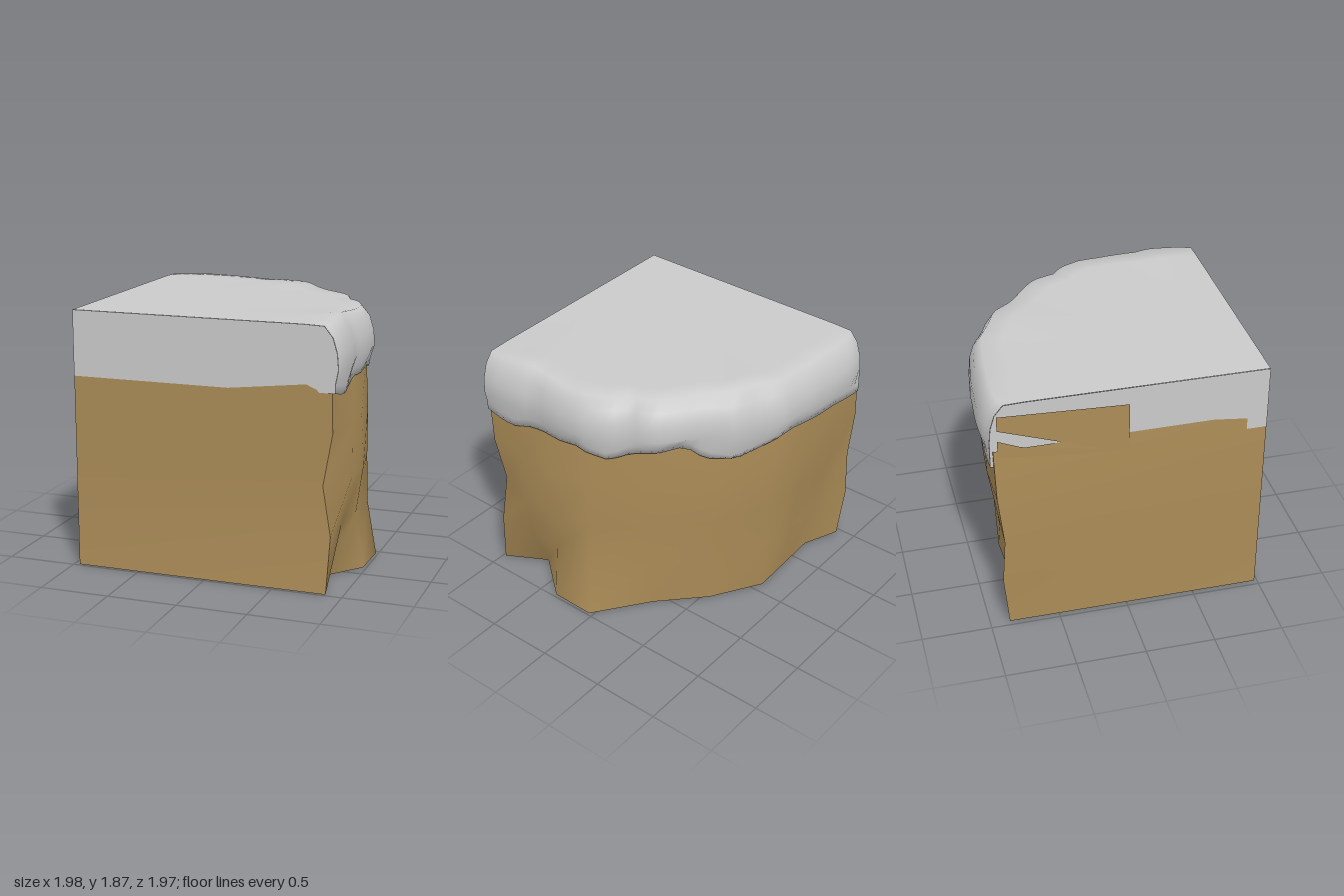
import * as THREE from 'three';

const CX = -0.96, CZ = 0.98; // square corner of the tile, pivot of the curved side

// Linear lookup in a list of [key, value] pairs
function lookup(list, k) {
  for (let i = 1; i < list.length; i++) {
    const [a, va] = list[i - 1], [b, vb] = list[i];
    if (k <= b) return va + (vb - va) * Math.max(0, (k - a) / (b - a));
  }
  return list[list.length - 1][1];
}

// Point at an angle (degrees) and radius around the pivot
function polar(r, deg, y) {
  const t = deg * Math.PI / 180;
  return [CX + r * Math.cos(t), y, CZ - r * Math.sin(t)];
}

// Surface through an nu x nv grid of points
function grid(nu, nv, point) {
  const pos = [], index = [];
  for (let i = 0; i < nu; i++) for (let j = 0; j < nv; j++) pos.push(...point(i, j));
  for (let i = 0; i < nu - 1; i++) for (let j = 0; j < nv - 1; j++) {
    const a = i * nv + j, b = a + nv;
    index.push(a, b, b + 1, a, b + 1, a + 1);
  }
  const g = new THREE.BufferGeometry();
  g.setAttribute('position', new THREE.Float32BufferAttribute(pos, 3));
  g.setIndex(index);
  g.computeVertexNormals();
  return g;
}

const flatShape = (pts) =>
  new THREE.ShapeGeometry(new THREE.Shape(pts.map(([x, y]) => new THREE.Vector2(x, y))));

// Rock radius by height (rows) and angle (columns)
const ANGLES = [0, 10, 17.6, 26, 38.5, 51, 63.4, 72, 81, 90];
const HEIGHTS = [0, 0.4, 0.75, 1.12, 1.5];
const ROCK = [
  [1.84, 1.70, 2.03, 2.16, 1.98, 1.97, 1.96, 1.83, 1.75, 1.84],
  [1.86, 1.88, 1.97, 2.09, 2.00, 2.00, 1.98, 1.88, 1.82, 1.88],
  [1.80, 1.95, 2.02, 2.08, 2.04, 2.03, 2.00, 1.92, 1.87, 1.86],
  [1.87, 1.95, 2.00, 2.08, 2.06, 2.05, 2.03, 1.98, 1.93, 1.90],
  [1.87, 1.89, 1.94, 2.06, 2.06, 2.04, 2.03, 1.99, 1.94, 1.91],
];
const FRONT_DENT = [0, 0.03, 0.04, 0.02, 0];
const LEFT_BULGE = [0, 0.025, 0.04, 0.04, 0.015];

function rockPoint(i, j) {
  const p = polar(ROCK[j][i], ANGLES[i], HEIGHTS[j]);
  if (i === 0) p[2] -= FRONT_DENT[j];
  if (i === ANGLES.length - 1) p[0] -= LEFT_BULGE[j];
  return p;
}

// Snow outline, hem height and top bumps by angle
const SNOW_RADIUS = [[0, 1.91], [2.4, 1.93], [14, 1.96], [22, 2.07], [26, 2.12], [31, 2.135],
  [34, 2.1], [38.8, 2.155], [49, 2.1], [54.5, 2.14], [59, 2.11], [64, 2.115], [68.5, 2.07],
  [76.8, 2.01], [87, 1.97], [90, 1.93]];
const HEM = [[0, 1.4], [5, 1.36], [9, 1.36], [11, 1.4], [15, 1.42], [19, 1.4], [24, 1.43],
  [30.5, 1.36], [35, 1.43], [40, 1.43], [45, 1.47], [49, 1.35], [55, 1.31], [60, 1.36],
  [68, 1.43], [80, 1.42], [90, 1.37]];
const BUMP = [[0, 0], [11, 0.03], [22, 0], [46, 0], [57, 0.02], [66, 0], [79, 0.01], [90, 0]];

function snowProfile(deg) {
  const R = lookup(SNOW_RADIUS, deg), h = lookup(HEM, deg), b = lookup(BUMP, deg);
  const k = lookup(ANGLES.map((a, i) => [a, ROCK[4][i]]), deg);
  return [
    [k - 0.06, h + 0.02], [k + 0.02, h], [Math.max(R - 0.03, k + 0.02), h + 0.06], [R, 1.56],
    [R - 0.01, 1.67], [R - 0.04, 1.77], [R - 0.1, 1.845 + b], [R - 0.25, 1.85 + b * 0.5],
    [1.2, 1.85], [0, 1.85],
  ];
}

export function createModel() {
  const model = new THREE.Group();
  const rockMat = new THREE.MeshStandardMaterial({ color: 0xab8c57 });
  rockMat.name = 'rock brown';
  const snowMat = new THREE.MeshStandardMaterial({ color: 0xcacaca });
  snowMat.name = 'snow grey';
  const add = (name, geometry, material) => {
    const mesh = new THREE.Mesh(geometry, material);
    mesh.name = name;
    model.add(mesh);
  };

  // Rock: curved wall, two cut faces and the base
  const nA = ANGLES.length, nH = HEIGHTS.length;
  const axis = (j) => [CX, HEIGHTS[j], CZ];
  add('rockWall', grid(nA, nH, rockPoint), rockMat);
  add('rockFrontFace', grid(2, nH, (i, j) => i ? rockPoint(0, j) : axis(j)), rockMat);
  add('rockLeftFace', grid(2, nH, (i, j) => i ? axis(j) : rockPoint(nA - 1, j)), rockMat);
  add('rockBase', grid(nA, 2, (i, j) => j ? rockPoint(i, 0) : axis(0)), rockMat);

  // Snow cap: bulging rim running into the flat top
  const steps = 45, profiles = [];
  for (let i = 0; i <= steps; i++) profiles.push(snowProfile(i * 90 / steps));
  add('snowCap', grid(steps + 1, profiles[0].length,
    (i, j) => polar(profiles[i][j][0], i * 90 / steps, profiles[i][j][1])), snowMat);

  // Snow cut faces, just proud of the rock
  const front = flatShape([
    [CX, 1.385], [0.18, 1.385], [0.73, 1.45], [0.8, 1.42], [0.82, 1.4],
    ...profiles[0].slice(1).map(([r, y]) => [CX + r, y]),
  ]);
  front.translate(0, 0, CZ + 0.003);
  add('snowFrontFace', front, snowMat);

  const left = flatShape([
    [CZ, 1.385], ...profiles[steps].slice(1).map(([r, y]) => [CZ - r, y]),
  ]);
  left.rotateY(-Math.PI / 2).translate(CX - 0.003, 0, 0);
  add('snowLeftFace', left, snowMat);

  // Bare rock patch showing through the snow on the left face
  const patch = flatShape([
    [-0.9, 1.77], [0, 1.73], [0, 1.38], [-0.9, 1.38], [-0.9, 1.58],
    [-0.74, 1.51], [-0.17, 1.4], [-0.9, 1.66],
  ]);
  patch.rotateY(-Math.PI / 2).translate(CX - 0.018, 0, 0);
  add('bareRockPatch', patch, rockMat);

  return model;
}
